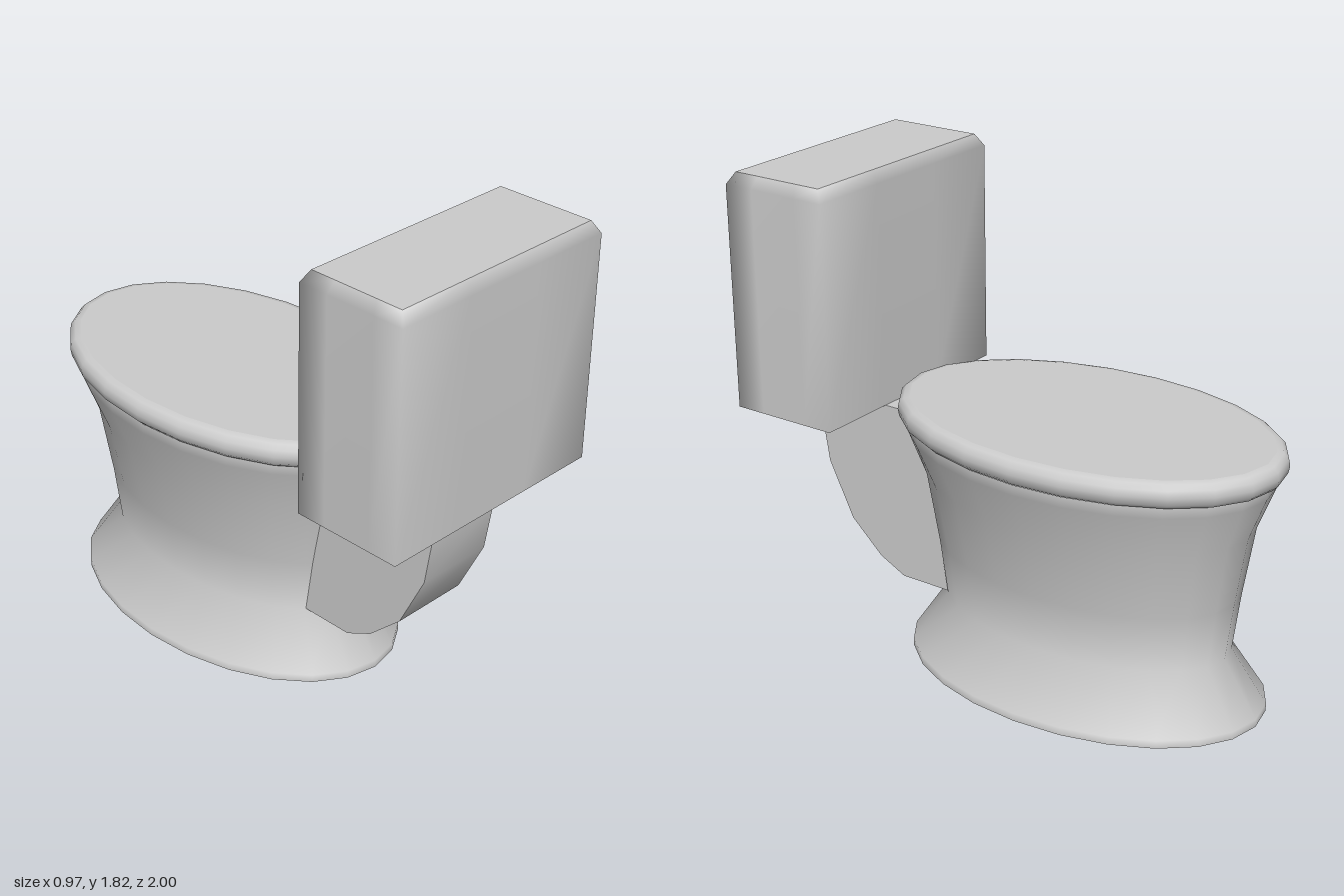
import * as THREE from 'three';
import { toCreasedNormals } from 'three/addons/utils/BufferGeometryUtils.js';

const material = new THREE.MeshStandardMaterial({ color: 0xcccccc, side: THREE.DoubleSide });

// Smooth wall through closed rings of [x, y, z] points, listed bottom to top;
// each ring runs counter-clockwise seen from above. Caps get their own vertices.
function loft(rings, capBottom, capTop) {
  const n = rings[0].length;
  const positions = rings.flat(2);
  const index = [];
  for (let r = 0; r < rings.length - 1; r++) {
    for (let i = 0; i < n; i++) {
      const a = r * n + i, b = r * n + (i + 1) % n;
      index.push(a, b, b + n, a, b + n, a + n);
    }
  }
  const cap = (ring, up) => {
    const start = positions.length / 3;
    positions.push(...ring.flat());
    for (let i = 1; i < n - 1; i++) {
      if (up) index.push(start, start + i, start + i + 1);
      else index.push(start, start + i + 1, start + i);
    }
  };
  if (capBottom) cap(rings[0], false);
  if (capTop) cap(rings[rings.length - 1], true);
  const geometry = new THREE.BufferGeometry();
  geometry.setAttribute('position', new THREE.Float32BufferAttribute(positions, 3));
  geometry.setIndex(index);
  geometry.computeVertexNormals();
  return geometry;
}

// Oval ring around the bowl axis
function oval(halfX, halfZ, y) {
  return Array.from({ length: 24 }, (_, i) => {
    const a = (i / 24) * Math.PI * 2;
    return [halfX * Math.sin(a), y, -0.23 + halfZ * Math.cos(a)];
  });
}

// Rectangular ring with extra points along each side
function rectangle(halfX, halfZ, y) {
  const outline = [
    [-1, 1], [-0.34, 1], [0.34, 1], [1, 1], [1, 0.45], [1, -0.45],
    [1, -1], [0.34, -1], [-0.34, -1], [-1, -1], [-1, -0.45], [-1, 0.45],
  ];
  return outline.map(([x, z]) => [x * halfX, y, 0.7825 + z * halfZ]);
}

export function createModel() {
  const model = new THREE.Group();
  const add = (name, geometry) => {
    const mesh = new THREE.Mesh(geometry, material);
    mesh.name = name;
    model.add(mesh);
  };

  // Bowl and flared foot, open underneath
  const bowl = [
    [0.46, 0.727, 0], [0.46, 0.727, 0.03], [0.325, 0.592, 0.23], [0.35, 0.62, 0.45],
    [0.395, 0.663, 0.72], [0.46, 0.727, 0.885], [0.46, 0.727, 0.925],
  ];
  add('bowl', loft(bowl.map((p) => oval(...p))));

  // Closed lid with a rounded rim: [inset, height]
  const rim = [
    [0.045, 0.925], [0.022, 0.928], [0.005, 0.945], [0, 0.972],
    [0.005, 0.998], [0.022, 1.015], [0.045, 1.02],
  ];
  add('lid', loft(rim.map(([d, y]) => oval(0.485 - d, 0.77 - d, y)), true, true));

  // Curved neck joining the bowl to the tank: profile of [z, y]
  const profile = [
    [0.88, 0.925], [0.88, 0.82], [0.85, 0.63], [0.745, 0.415], [0.61, 0.29], [0.5, 0.235],
    [0.28, 0.235], [0.315, 0.45], [0.375, 0.72], [0.44, 0.88], [0.44, 0.925],
  ];
  const shape = new THREE.Shape(profile.map(([z, y]) => new THREE.Vector2(-z, y)));
  const neck = new THREE.ExtrudeGeometry(shape, { depth: 0.31, bevelEnabled: false });
  neck.translate(0, 0, -0.155).rotateY(Math.PI / 2);
  add('neck', toCreasedNormals(neck, 0.6));

  // Tank with a chamfered top
  add('tank', loft([
    rectangle(0.475, 0.2175, 0.925),
    rectangle(0.475, 0.2175, 1.775),
    rectangle(0.45, 0.19, 1.82),
  ], true, true));

  return model;
}
